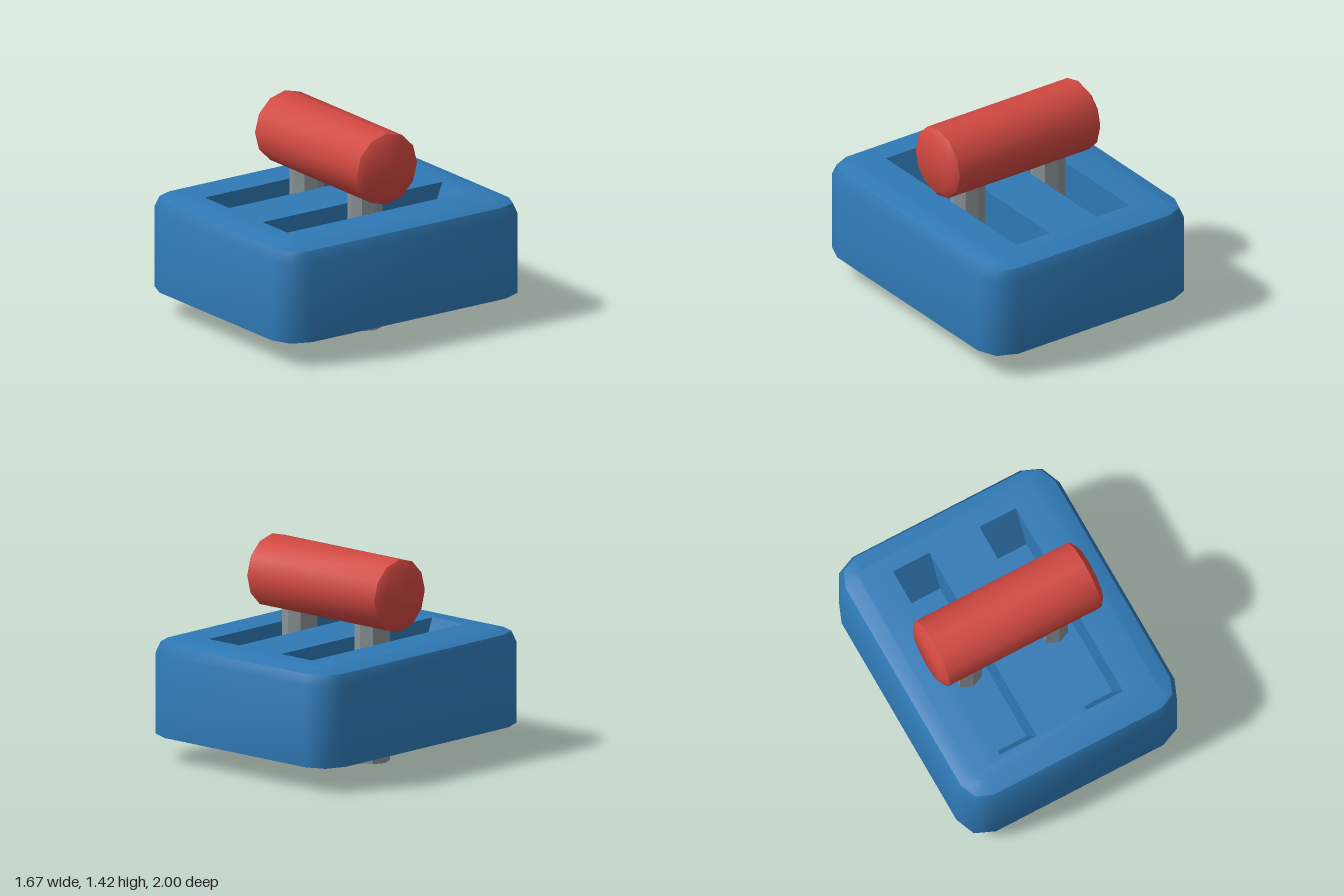
import * as THREE from 'three';
import { mergeGeometries, toCreasedNormals } from 'three/addons/utils/BufferGeometryUtils.js';

const blue = new THREE.MeshStandardMaterial({ name: 'blue body', color: 0x2f79b5 });
const red = new THREE.MeshStandardMaterial({ name: 'red handle', color: 0xd14841 });
const grey = new THREE.MeshStandardMaterial({ name: 'grey metal', color: 0x8a9397, flatShading: true });

const BOTTOM = 0.17, TOP = 0.835;
const SLOT_X = 0.33, SLOT_HALF = 0.14;

// Rounded rectangle loop around fixed corner centres, two segments per corner
function ring(r, y) {
  const pts = [];
  for (let corner = 0; corner < 4; corner++) {
    for (let k = 0; k < 3; k++) {
      const a = (corner * 2 + k) * Math.PI / 4;
      const sx = corner < 2 ? 1 : -1;
      const sz = corner === 0 || corner === 3 ? 1 : -1;
      pts.push([sx * 0.64 + r * Math.sin(a), y, sz * 0.8 + r * 1.03 * Math.cos(a)]);
    }
  }
  return pts;
}

// Geometry from a list of four-cornered faces
function quads(faces) {
  const pos = faces.flatMap(([a, b, c, d]) => [...a, ...b, ...c, ...a, ...c, ...d]);
  const geo = new THREE.BufferGeometry();
  geo.setAttribute('position', new THREE.Float32BufferAttribute(pos, 3));
  geo.computeVertexNormals();
  return geo;
}

// Bands joining successive loops
function loft(rings) {
  const faces = [];
  for (let j = 0; j < rings.length - 1; j++) {
    const lo = rings[j], hi = rings[j + 1], n = lo.length;
    for (let i = 0; i < n; i++) {
      const k = (i + 1) % n;
      faces.push([lo[i], lo[k], hi[k], hi[i]]);
    }
  }
  return quads(faces);
}

// Flat plate filling a loop, facing up or down, with optional slot openings
function plate(loop, up, slots) {
  const s = up ? -1 : 1;
  const shape = new THREE.Shape(loop.map(([x, , z]) => new THREE.Vector2(x, s * z)));
  for (const cx of slots) {
    const l = cx - SLOT_HALF, r = cx + SLOT_HALF, e = 0.745;
    shape.holes.push(new THREE.Path([[l, -e], [l, e], [r, e], [r, -e]].map(p => new THREE.Vector2(...p))));
  }
  const geo = new THREE.ShapeGeometry(shape).toNonIndexed();
  geo.deleteAttribute('uv');
  geo.rotateX(s * Math.PI / 2).translate(0, loop[0][1], 0);
  return geo;
}

// Trough with a flat floor and sloping ends
function slotGeometry(cx) {
  const x0 = cx - SLOT_HALF, x1 = cx + SLOT_HALF;
  const profile = [[-0.745, TOP], [-0.6, 0.48], [0.6, 0.48], [0.745, TOP]];
  const left = profile.map(([z, y]) => [x0, y, z]);
  const right = profile.map(([z, y]) => [x1, y, z]);
  const faces = [[...left].reverse(), right];
  for (let i = 0; i < 3; i++) faces.push([left[i], left[i + 1], right[i + 1], right[i]]);
  return quads(faces);
}

export function createModel() {
  const group = new THREE.Group();
  const add = (name, geo, mat) => {
    const mesh = new THREE.Mesh(geo, mat);
    mesh.name = name;
    group.add(mesh);
    return mesh;
  };

  // Base block: side walls with shoulder, top deck, underside
  const shoulder = ring(0.16, 0.803), deck = ring(0.06, TOP);
  add('baseSides', toCreasedNormals(loft([ring(0.193, BOTTOM), ring(0.193, 0.73), shoulder]), 1), blue);
  const top = mergeGeometries([loft([shoulder, deck]), plate(deck, true, [-SLOT_X, SLOT_X])]);
  add('baseTop', toCreasedNormals(top, 1), blue);
  add('baseUnderside', plate(ring(0.193, BOTTOM), false, []), blue);

  // Slots and the prongs passing through them
  for (const [side, s] of [['left', 1], ['right', -1]]) {
    add(side + 'Slot', slotGeometry(s * SLOT_X), blue);
    const prong = add(side + 'Prong', new THREE.CylinderGeometry(0.119, 0.119, 1.1, 8), grey);
    prong.position.set(s * SLOT_X, 0.55, 0);
  }

  // Chamfered twelve-sided grip
  const profile = [[0, -0.62], [0.195, -0.62], [0.25, -0.58], [0.25, 0.58], [0.195, 0.62], [0, 0.62]];
  const grip = new THREE.LatheGeometry(profile.map(p => new THREE.Vector2(...p)), 12);
  const handle = add('handle', toCreasedNormals(grip, 0.65), red);
  handle.rotation.z = Math.PI / 2;
  handle.position.y = 1.17;

  return group;
}
